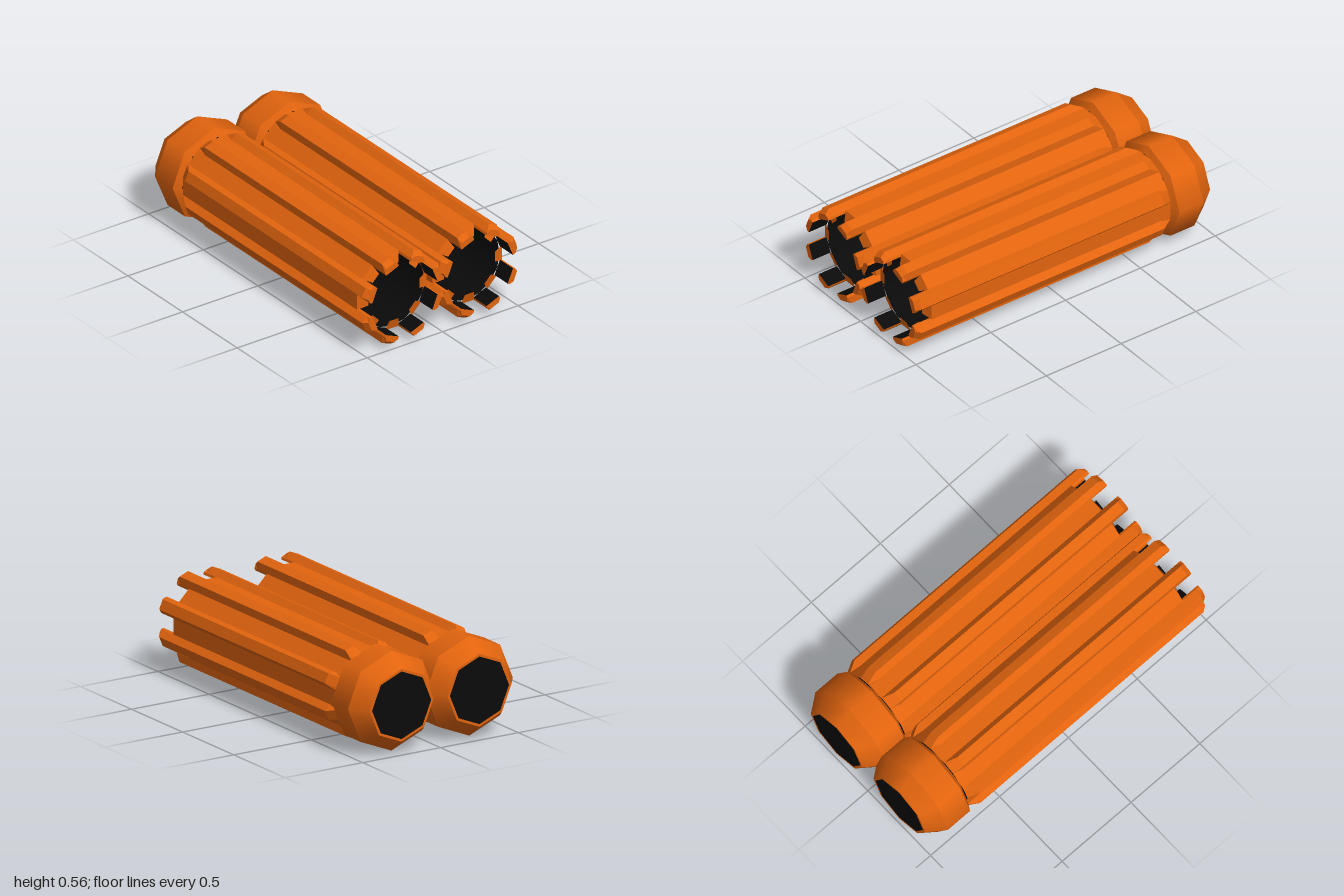
import * as THREE from 'three';

const orange = new THREE.MeshStandardMaterial({ color: 0xe2640e });
orange.name = 'orange';
const black = new THREE.MeshStandardMaterial({ color: 0x0a0a0a, side: THREE.DoubleSide });
black.name = 'black';

const R = 0.272;       // rib crest radius
const NOTCH = 0.88;    // z where the grooves stop
const STEP = Math.PI / 4;

// Point at radius r and sideways offset s, turned by an angle about z
const at = (r, s, angle, z) =>
  new THREE.Vector3(r, s, 0).applyAxisAngle(new THREE.Vector3(0, 0, 1), angle).setZ(z);

const fromTriangles = (points) => {
  const g = new THREE.BufferGeometry().setFromPoints(points);
  g.computeVertexNormals();
  return g;
};

// Flat-sided skin between successive rings of points
function loft(rings, closed) {
  const out = [];
  for (let k = 0; k + 1 < rings.length; k++) {
    const a = rings[k], b = rings[k + 1], n = a.length;
    for (let i = 0; i < (closed ? n : n - 1); i++) {
      const j = (i + 1) % n;
      out.push(a[i], a[j], b[j], a[i], b[j], b[i]);
    }
  }
  return fromTriangles(out);
}

// Rib section from one foot over the crest to the other foot
const ribSection = (angle, crest, z) => {
  const foot = Math.min(0.2297, crest);
  return [[foot, -0.0463], [crest, -0.029], [crest, 0.029], [foot, 0.0463]]
    .map(([r, s]) => at(r, s, angle, z));
};

const ribAngles = Array.from({ length: 8 }, (_, i) => (i + 0.5) * STEP);

function makeBarrel() {
  const barrel = new THREE.Group();
  const add = (name, geometry, material) => {
    const mesh = new THREE.Mesh(geometry, material);
    mesh.name = name;
    barrel.add(mesh);
  };
  const band = (front, back, zFront, zBack, sides = 8) =>
    new THREE.CylinderGeometry(front, back, zFront - zBack, sides, 1, true)
      .rotateX(Math.PI / 2).translate(0, 0, (zFront + zBack) / 2);

  // Fluted body with ribs tapering into the collar
  const body = [[-0.715, 0.235], [-0.65, R], [NOTCH, R]]
    .map(([z, r]) => ribAngles.flatMap((a) => ribSection(a, r, z)));
  add('flutedBody', loft(body, true), orange);

  ribAngles.forEach((a) => {
    // Free rib ends standing past the grooves
    const rings = [[NOTCH, R], [0.97, R], [1, 0.25]].map(([z, r]) =>
      [at(0.215, -0.045, a, z), ...ribSection(a, r, z), at(0.215, 0.045, a, z)]);
    add('ribTip', loft(rings, false), orange);
    add('ribTipInside', loft(rings.map((p) => [p[5], p[0]]), false), black);
    const end = rings[2], cap = [];
    for (let i = 1; i < 5; i++) cap.push(end[0], end[i], end[i + 1]);
    add('ribTipEnd', fromTriangles(cap), orange);

    // Sloping lip that closes the end of each groove
    const g = a - STEP / 2;
    add('grooveLip', loft([
      [at(0.23, -0.046, g, NOTCH), at(0.23, 0.046, g, NOTCH)],
      [at(0.17, -0.03, g, 0.9), at(0.17, 0.03, g, 0.9)],
    ], false), orange);
  });

  // Dark bore
  add('bore', band(0.215, 0.215, NOTCH, -0.9, 16), black);
  add('boreEnd', new THREE.CircleGeometry(0.215, 16).translate(0, 0, -0.9), black);

  // Eight-sided rear collar
  add('collarFrontBevel', band(0.235, 0.28, -0.715, -0.74), orange);
  add('collarBand', band(0.28, 0.28, -0.74, -0.9), orange);
  add('collarTaper', band(0.28, 0.205, -0.9, -1), orange);
  add('collarRim', new THREE.RingGeometry(0.19, 0.205, 8).rotateY(Math.PI).translate(0, 0, -1), orange);
  add('rearOpening', new THREE.CircleGeometry(0.19, 8).rotateY(Math.PI).translate(0, 0, -1), black);
  return barrel;
}

export function createModel() {
  const model = new THREE.Group();
  model.name = 'twinBarrels';
  for (const side of [-1, 1]) {
    const barrel = makeBarrel();
    barrel.name = side > 0 ? 'leftBarrel' : 'rightBarrel';
    barrel.position.set(side * 0.25, 0.28, 0);
    model.add(barrel);
  }
  return model;
}
